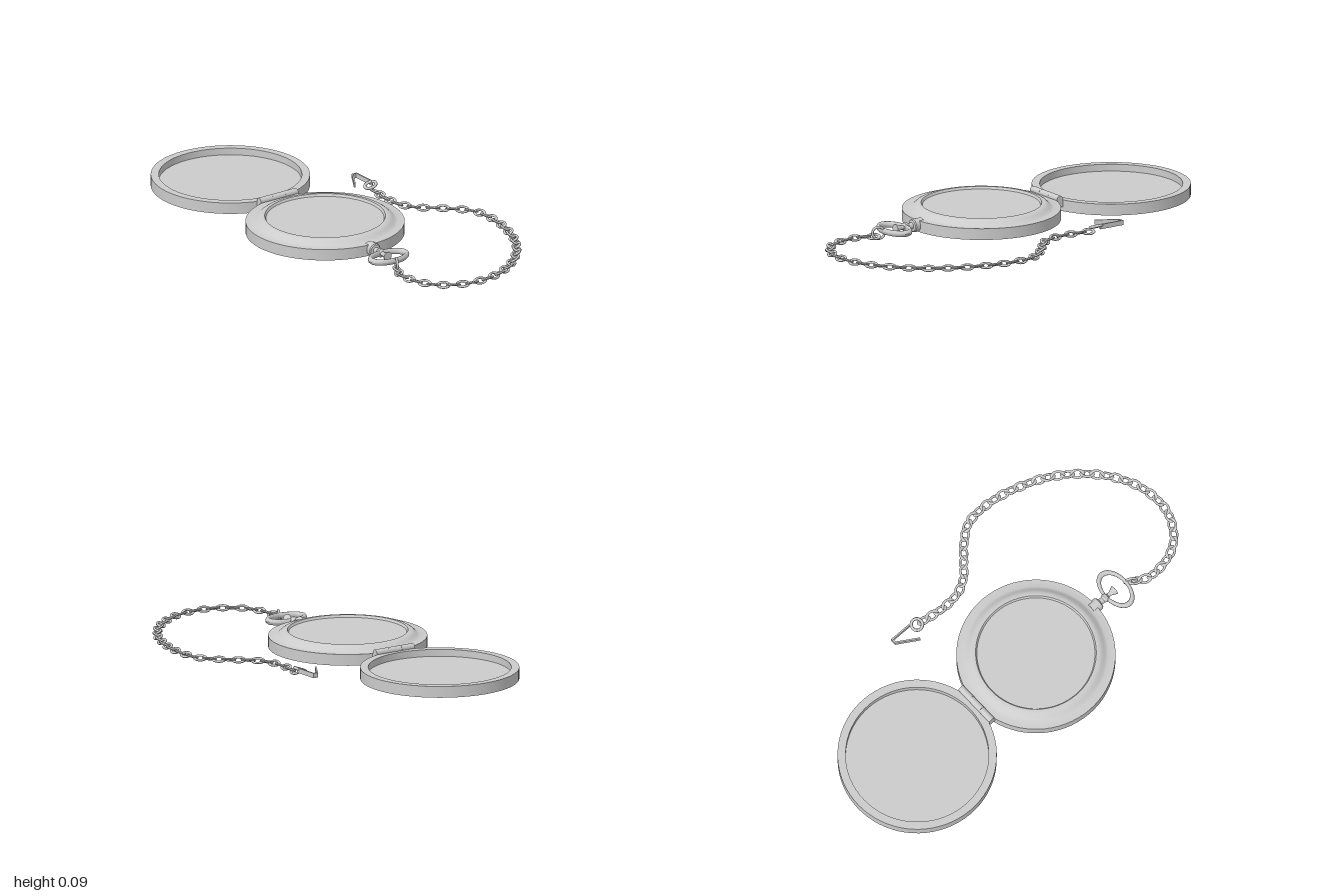
import * as THREE from 'three';
import { toCreasedNormals } from 'three/addons/utils/BufferGeometryUtils.js';

const V2 = (x, y) => new THREE.Vector2(x, y);
const V3 = (x, y, z) => new THREE.Vector3(x, y, z);

export function createModel() {
  const model = new THREE.Group();
  const silver = new THREE.MeshStandardMaterial({ color: 0xcccccc });
  silver.name = 'silver';

  const add = (name, geometry, x = 0, y = 0, z = 0, parent = model) => {
    const mesh = new THREE.Mesh(geometry, silver);
    mesh.name = name;
    mesh.position.set(x, y, z);
    parent.add(mesh);
    return mesh;
  };
  const lathe = (points, segments = 72) =>
    toCreasedNormals(new THREE.LatheGeometry(points.map(([r, y]) => V2(r, y)), segments), 0.5);

  const caseZ = 0.177;

  // Open lid: shallow dish with a recessed floor
  add('lid', lathe([
    [0, 0.015], [0.356, 0.015], [0.356, 0.067], [0.32, 0.067], [0.32, 0.035], [0, 0.035],
  ]), -0.644, 0, caseZ);

  // Watch case with raised bezel and sunken glass
  add('watchCase', lathe([
    [0, 0.015], [0.356, 0.015], [0.356, 0.067], [0.322, 0.067],
    [0.314, 0.071], [0.305, 0.078], [0.297, 0.085], [0.288, 0.09], [0.277, 0.092],
    [0.27, 0.092], [0.264, 0.081], [0, 0.081],
  ]), 0.069, 0, caseZ);

  // Hinge: barrel in three knuckles over a narrow leaf
  const hinge = new THREE.Group();
  hinge.name = 'hinge';
  hinge.position.set(-0.288, 0, caseZ);
  model.add(hinge);
  for (const i of [-1, 0, 1]) {
    const knuckle = new THREE.CylinderGeometry(0.016, 0.016, 0.069, 16).rotateX(Math.PI / 2);
    add('hingeKnuckle', knuckle, 0, 0.072, i * 0.0695, hinge);
  }
  add('hingeLeaf', new THREE.BoxGeometry(0.036, 0.03, 0.208), 0, 0.05, 0, hinge);

  // Collar, neck and winding crown on the side of the case
  const stem = add('stemAndCrown', lathe([
    [0, 0], [0.03, 0], [0.03, 0.045], [0.026, 0.05], [0.015, 0.052], [0.014, 0.07],
    [0.02, 0.08], [0.02, 0.092], [0.01, 0.1], [0.01, 0.115], [0.021, 0.138], [0.021, 0.142], [0, 0.142],
  ], 20), 0.4, 0.044, caseZ);
  stem.rotation.z = -Math.PI / 2;

  // Oval bow
  const bow = new THREE.TorusGeometry(0.092, 0.0125, 10, 48).rotateX(Math.PI / 2);
  bow.scale(0.62, 1.15, 1);
  bow.computeVertexNormals();
  add('bow', bow, 0.547, 0.044, caseZ);

  // Loop joining the bow to the chain
  const joiner = add('bowLink', new THREE.TorusGeometry(0.027, 0.006, 8, 24), 0.625, 0.036, 0.19);
  joiner.rotation.y = -0.5;

  // Chain: oval links along a curve, tilted alternately
  const path = new THREE.CatmullRomCurve3([
    [0.645, 0.2], [0.7, 0.227], [0.8, 0.222], [0.885, 0.185], [0.947, 0.11], [0.975, 0.02],
    [0.963, -0.104], [0.915, -0.21], [0.835, -0.312], [0.723, -0.403], [0.605, -0.462],
    [0.456, -0.505], [0.35, -0.513], [0.27, -0.5], [0.2, -0.45], [0.136, -0.382],
    [0.082, -0.323], [0.013, -0.286], [-0.078, -0.277], [-0.185, -0.29],
  ].map(([x, z]) => V3(x, 0.02, z)));
  const linkGeometry = [-1, 1].map((side) => {
    const link = new THREE.TorusGeometry(0.0175, 0.0055, 7, 18);
    link.scale(1.5, 1, 1);
    link.computeVertexNormals();
    return link.rotateX(Math.PI / 2 + side * 0.4);
  });
  const chain = new THREE.Group();
  chain.name = 'chain';
  model.add(chain);
  const count = Math.round(path.getLength() / 0.044);
  for (let i = 0; i <= count; i++) {
    const p = path.getPointAt(i / count);
    const t = path.getTangentAt(i / count);
    const link = add('chainLink', linkGeometry[i % 2], p.x, p.y, p.z, chain);
    link.rotation.y = Math.atan2(-t.z, t.x);
  }

  // End ring
  const ring = add('endRing', new THREE.TorusGeometry(0.026, 0.007, 8, 24).rotateX(Math.PI / 2), -0.225, 0.038, -0.292);
  ring.rotation.x = 0.35;

  // Clip: bent flat strip
  const outline = [
    [-0.235, -0.314], [-0.36, -0.314], [-0.36, -0.288], [-0.262, -0.228],
    [-0.258, -0.234], [-0.353, -0.292], [-0.353, -0.307], [-0.235, -0.307],
  ].map(([x, z]) => V2(x, -z));
  const strip = new THREE.ExtrudeGeometry(new THREE.Shape(outline), { depth: 0.022, bevelEnabled: false });
  add('clip', strip.rotateX(-Math.PI / 2), 0, 0.028, 0);

  return model;
}
